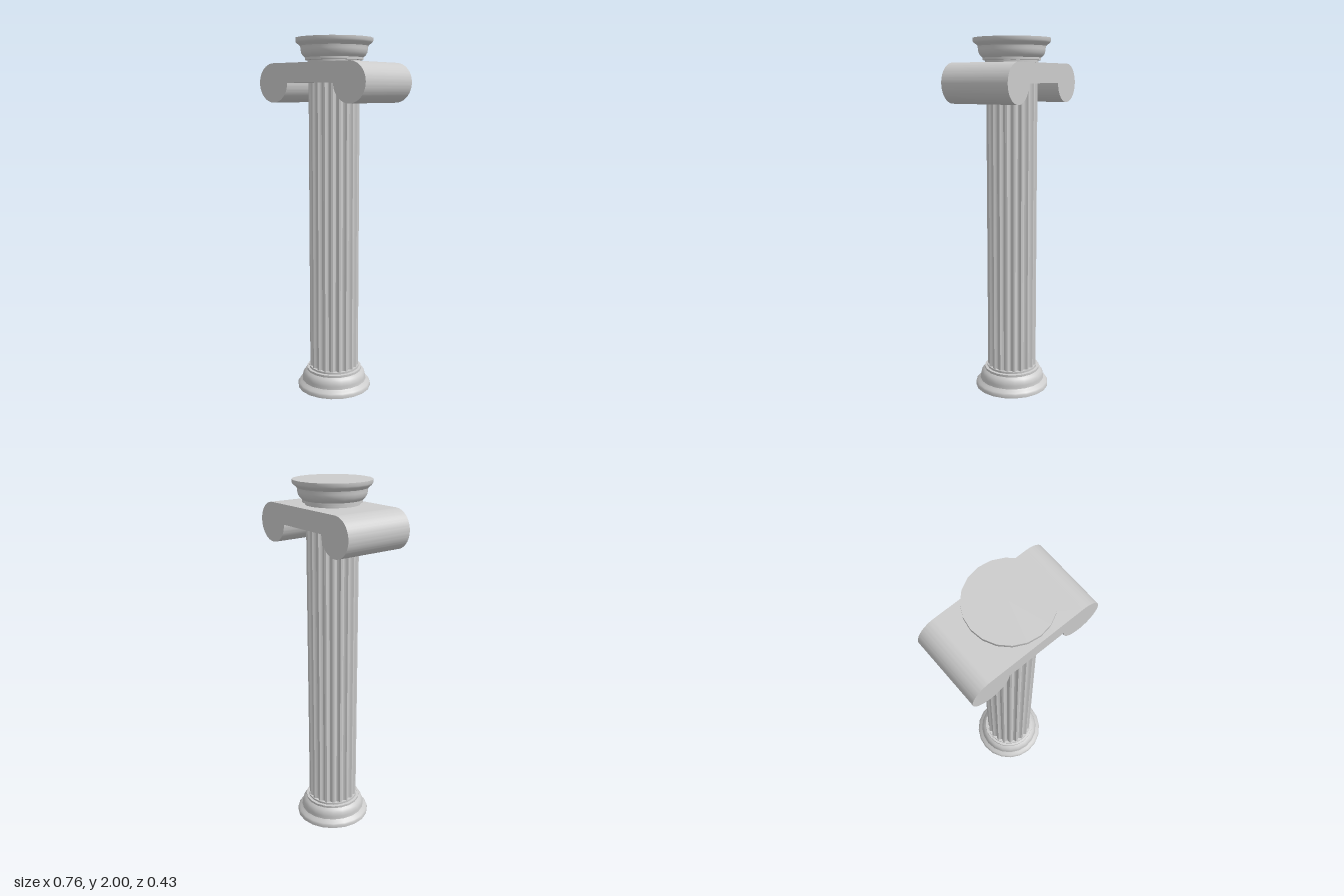
import * as THREE from 'three';
import { toCreasedNormals } from 'three/addons/utils/BufferGeometryUtils.js';

const material = new THREE.MeshStandardMaterial({ color: 0xcccccc });

function part(name, geometry, crease = 0.6) {
  const mesh = new THREE.Mesh(toCreasedNormals(geometry, crease), material);
  mesh.name = name;
  return mesh;
}

// Moulding profile [radius, height], from the wide foot to the neck
const moulding = [
  [0, 0], [0.213, 0], [0.213, 0.017], [0.208, 0.026], [0.196, 0.034],
  [0.187, 0.043], [0.185, 0.055], [0.185, 0.062], [0.181, 0.08],
  [0.172, 0.094], [0.16, 0.104], [0.16, 0.117], [0.146, 0.119],
  [0.146, 0.13], [0, 0.13],
];

function mouldingGeometry(flipped) {
  let points = moulding.map(([r, y]) => new THREE.Vector2(r, flipped ? 2 - y : y));
  if (flipped) points.reverse();
  return new THREE.LatheGeometry(points, 20);
}

// Shaft cross-section: narrow ridges between scooped flutes
function shaftGeometry(bottom, top) {
  const flutes = 20, steps = 6, radius = 0.141, depth = 0.014;
  const pitch = (Math.PI * 2) / flutes;
  const points = [];
  for (let i = 0; i < flutes; i++) {
    for (let j = 0; j <= steps; j++) {
      const t = j / steps;
      const angle = (i + 0.12 + 0.76 * t) * pitch;
      const r = radius - depth * Math.sin(Math.PI * t);
      points.push(new THREE.Vector2(Math.cos(angle) * r, Math.sin(angle) * r));
    }
  }
  const geometry = new THREE.ExtrudeGeometry(new THREE.Shape(points), {
    depth: top - bottom, bevelEnabled: false,
  });
  return geometry.rotateX(-Math.PI / 2).translate(0, bottom, 0);
}

// Scroll block: a slab with a round roll hanging at either end
function scrollGeometry() {
  const cx = 0.272, cy = 1.76, r = 0.107, width = 0.4;
  const shape = new THREE.Shape();
  shape.moveTo(-cx, cy + r);
  shape.lineTo(cx, cy + r);
  shape.absarc(cx, cy, r, Math.PI / 2, -Math.PI, true);
  shape.lineTo(-cx + r, cy);
  shape.absarc(-cx, cy, r, 0, -Math.PI * 1.5, true);
  const geometry = new THREE.ExtrudeGeometry(shape, {
    depth: width, bevelEnabled: false, curveSegments: 36,
  });
  return geometry.translate(0, 0, -width / 2);
}

export function createModel() {
  const column = new THREE.Group();
  column.name = 'column';
  column.add(
    part('base', mouldingGeometry(false)),
    part('shaft', shaftGeometry(0.12, 1.8), 0.4),
    part('scrollBlock', scrollGeometry()),
    part('capital', mouldingGeometry(true)),
  );
  return column;
}
